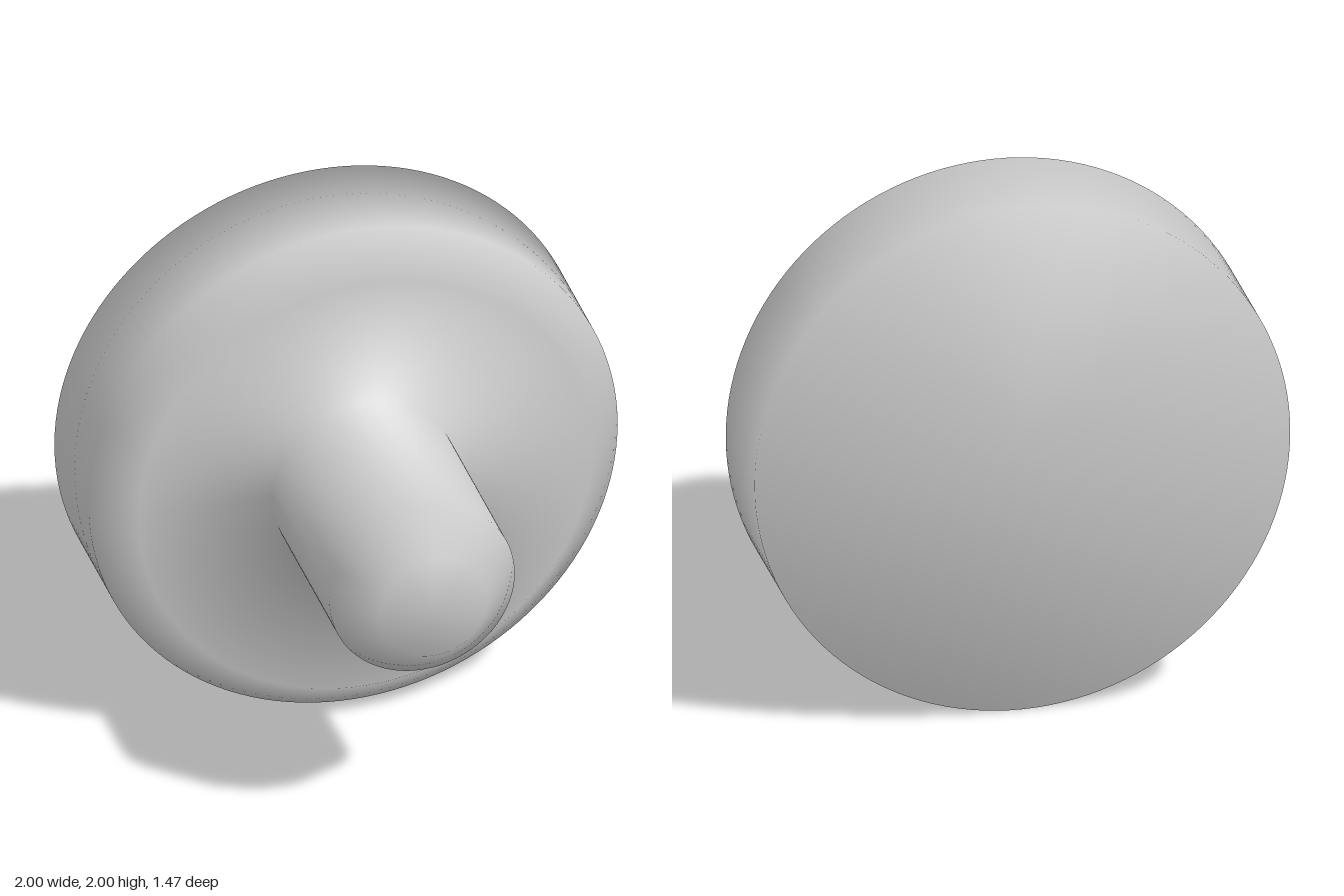
import * as THREE from 'three';

export function createModel() {
  const group = new THREE.Group();
  group.name = 'knob';

  // Half profile (radius, depth) from the flat back to the chamfered tip
  const profile = [
    [0, -0.735], [1, -0.735],      // flat back of the head
    [1, -0.295], [0.855, -0.147],  // head rim and chamfer
    [0.35, -0.147], [0.35, 0.588], // shoulder and stem
    [0.203, 0.735], [0, 0.735],    // stem chamfer and tip
  ].map(([r, d]) => new THREE.Vector2(r, d));

  // One smooth turned body, its axis laid along z
  const geometry = new THREE.LatheGeometry(profile, 128);
  geometry.rotateX(Math.PI / 2);

  const body = new THREE.Mesh(geometry, new THREE.MeshStandardMaterial({ color: 0xcccccc }));
  body.name = 'headAndStem';
  body.position.y = 1;
  group.add(body);
  return group;
}
